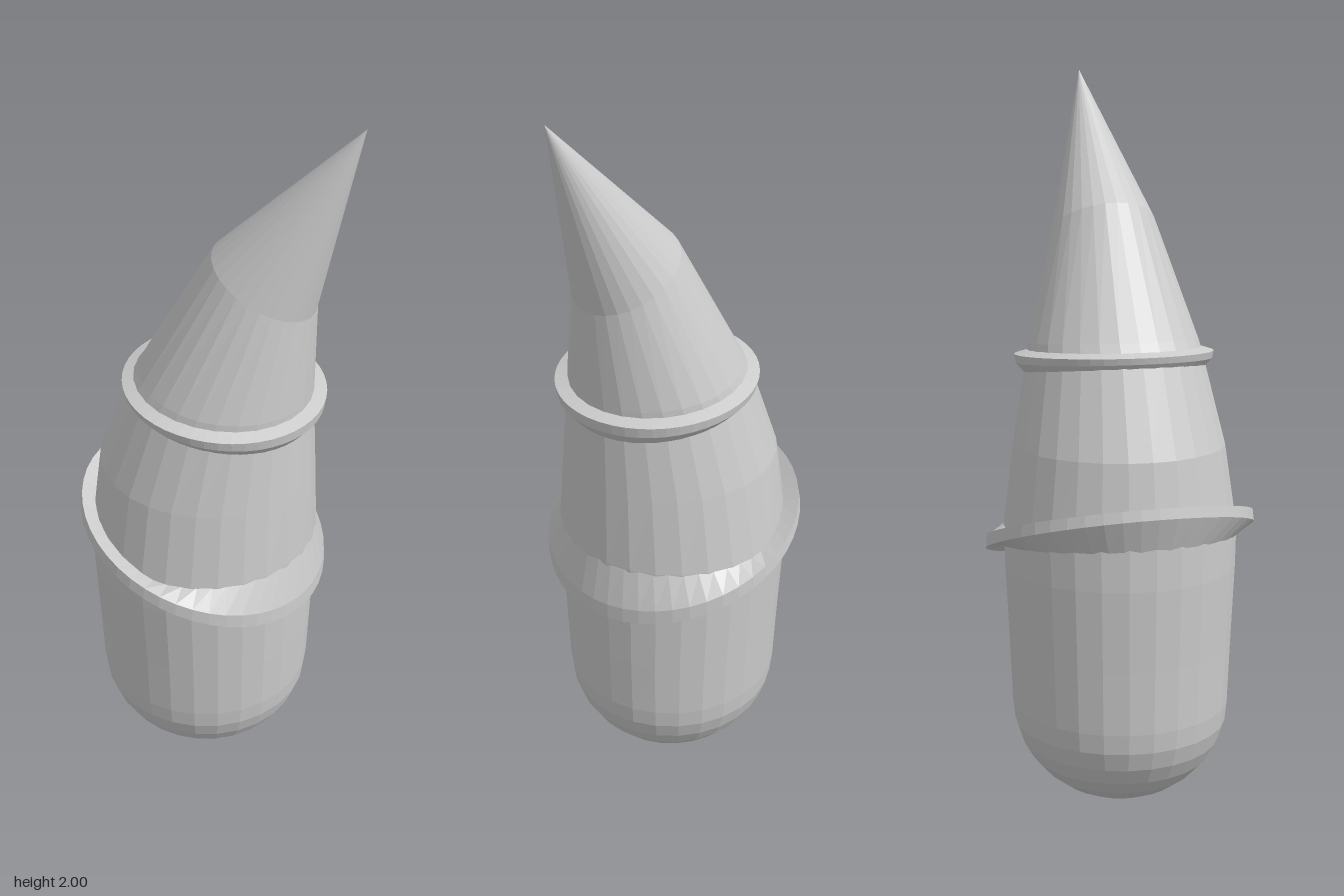
import * as THREE from 'three';

const material = new THREE.MeshStandardMaterial({
  color: 0xcccccc, flatShading: true, side: THREE.DoubleSide,
});

// Ellipse in a plane that tilts along x: left (-x) and right (+x) heights, x extents, z half-width
const ring = ([yL, yR, xL, xR, z]) => (a) => {
  const c = Math.cos(a);
  return [(xL + xR) / 2 + c * (xR - xL) / 2, (yL + yR) / 2 + c * (yR - yL) / 2, z * Math.sin(a)];
};

// Skin a list of rings into one surface
function loft(name, rings, sides) {
  const pos = [], idx = [];
  rings.forEach((r) => {
    for (let j = 0; j < sides; j++) pos.push(...r((j / sides) * Math.PI * 2));
  });
  for (let i = 0; i < rings.length - 1; i++) {
    for (let j = 0; j < sides; j++) {
      const k = (j + 1) % sides;
      const a = i * sides + j, b = i * sides + k, c = a + sides, d = b + sides;
      idx.push(a, c, b, b, c, d);
    }
  }
  const geo = new THREE.BufferGeometry();
  geo.setAttribute('position', new THREE.Float32BufferAttribute(pos, 3));
  geo.setIndex(idx);
  geo.computeVertexNormals();
  const mesh = new THREE.Mesh(geo, material);
  mesh.name = name;
  return mesh;
}

export function createModel() {
  const group = new THREE.Group();
  group.name = 'hoodedFigure';

  // Rounded base, then the barrel leaning in toward the neck
  const sections = [];
  for (let i = 0; i <= 8; i++) {
    const t = (i / 8) * Math.PI / 2;
    const y = 0.28 * (1 - Math.cos(t)), s = Math.sin(t);
    sections.push([y, y, -0.025 - 0.305 * s, -0.025 + 0.3 * s, 0.298 * s]);
  }
  sections.push(
    [0.45, 0.45, -0.335, 0.28, 0.305],
    [0.67, 0.67, -0.343, 0.284, 0.315],
    [0.78, 0.78, -0.342, 0.285, 0.318],
    [1.00, 1.00, -0.313, 0.275, 0.287],
    [1.25, 1.22, -0.222, 0.264, 0.238],
  );
  group.add(loft('body', sections.map(ring), 28));

  // Pointed cap bending toward +x
  group.add(loft('cap', [
    [1.25, 1.22, -0.222, 0.264, 0.238],
    [1.29, 1.25, -0.195, 0.264, 0.232],
    [1.64, 1.50, 0.0, 0.266, 0.142],
    [2, 2, 0.365, 0.365, 0],
  ].map(ring), 28));

  // Lower brim: tilted lip whose top and underside run into the body
  const lipTop = ring([0.893, 0.66, -0.363, 0.31, 0.365]);
  const lipBottom = ring([0.865, 0.617, -0.369, 0.312, 0.368]);
  const innerTop = (a) => {
    const p = ring([0.86, 0.68, -0.33, 0.283, 0.314])(a);
    return [p[0], Math.max(0.78, p[1]), p[2]];
  };
  const innerBottom = (a) => {
    const p = ring([0.84, 0.66, -0.34, 0.282, 0.314])(a);
    return [p[0], Math.min(0.735 - 0.04 * Math.cos(a), p[1]), p[2]];
  };
  group.add(loft('lowerBrim', [innerBottom, lipBottom, lipTop, innerTop], 48));

  // Upper collar under the cap
  group.add(loft('upperCollar', [
    [1.225, 1.155, -0.226, 0.262, 0.24],
    [1.24, 1.195, -0.236, 0.294, 0.266],
    [1.257, 1.225, -0.24, 0.298, 0.27],
    [1.27, 1.235, -0.2, 0.262, 0.232],
  ].map(ring), 48));

  return group;
}
